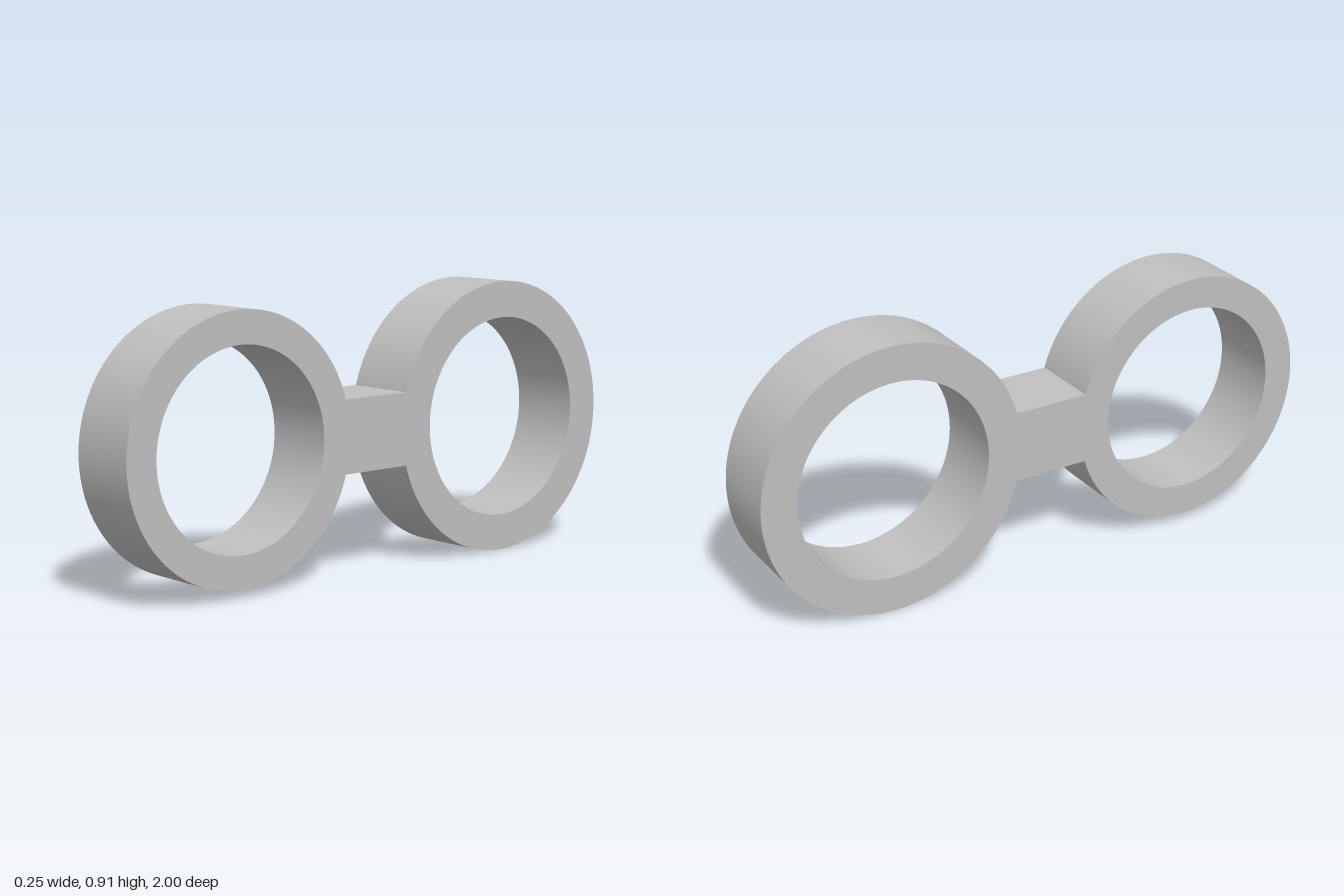
import * as THREE from 'three';
import { toCreasedNormals } from 'three/addons/utils/BufferGeometryUtils.js';

const WIDTH = 0.246;
const CENTER_Y = 0.457;
const BRIDGE_HALF = 0.12;
// u runs from front to back
const FRONT = { u: -0.57, outer: 0.43, inner: 0.323 };
const BACK = { u: 0.543, outer: 0.457, inner: 0.336 };

export function createModel() {
  const group = new THREE.Group();
  group.name = 'doubleRingLink';
  const grey = new THREE.MeshStandardMaterial({ color: 0xc0c0c0 });
  grey.name = 'grey';

  // Outline: both ring arcs, joined by the straight edges of the bridge
  const a = Math.asin(BRIDGE_HALF / FRONT.outer);
  const b = Math.asin(BRIDGE_HALF / BACK.outer);
  const outline = new THREE.Shape();
  outline.absarc(BACK.u, CENTER_Y, BACK.outer, Math.PI + b, 3 * Math.PI - b, false);
  outline.absarc(FRONT.u, CENTER_Y, FRONT.outer, a, 2 * Math.PI - a, false);
  outline.closePath();

  // Round openings
  for (const ring of [FRONT, BACK]) {
    const hole = new THREE.Path();
    hole.absarc(ring.u, CENTER_Y, ring.inner, 0, Math.PI * 2, true);
    outline.holes.push(hole);
  }

  // Extrude across the width, then turn the profile into the y-z plane
  const extruded = new THREE.ExtrudeGeometry(outline, {
    depth: WIDTH, bevelEnabled: false, curveSegments: 64,
  });
  extruded.translate(0, 0, -WIDTH / 2);
  extruded.rotateY(Math.PI / 2);

  const link = new THREE.Mesh(toCreasedNormals(extruded, 0.5), grey);
  link.name = 'ringsAndBridge';
  group.add(link);
  return group;
}
